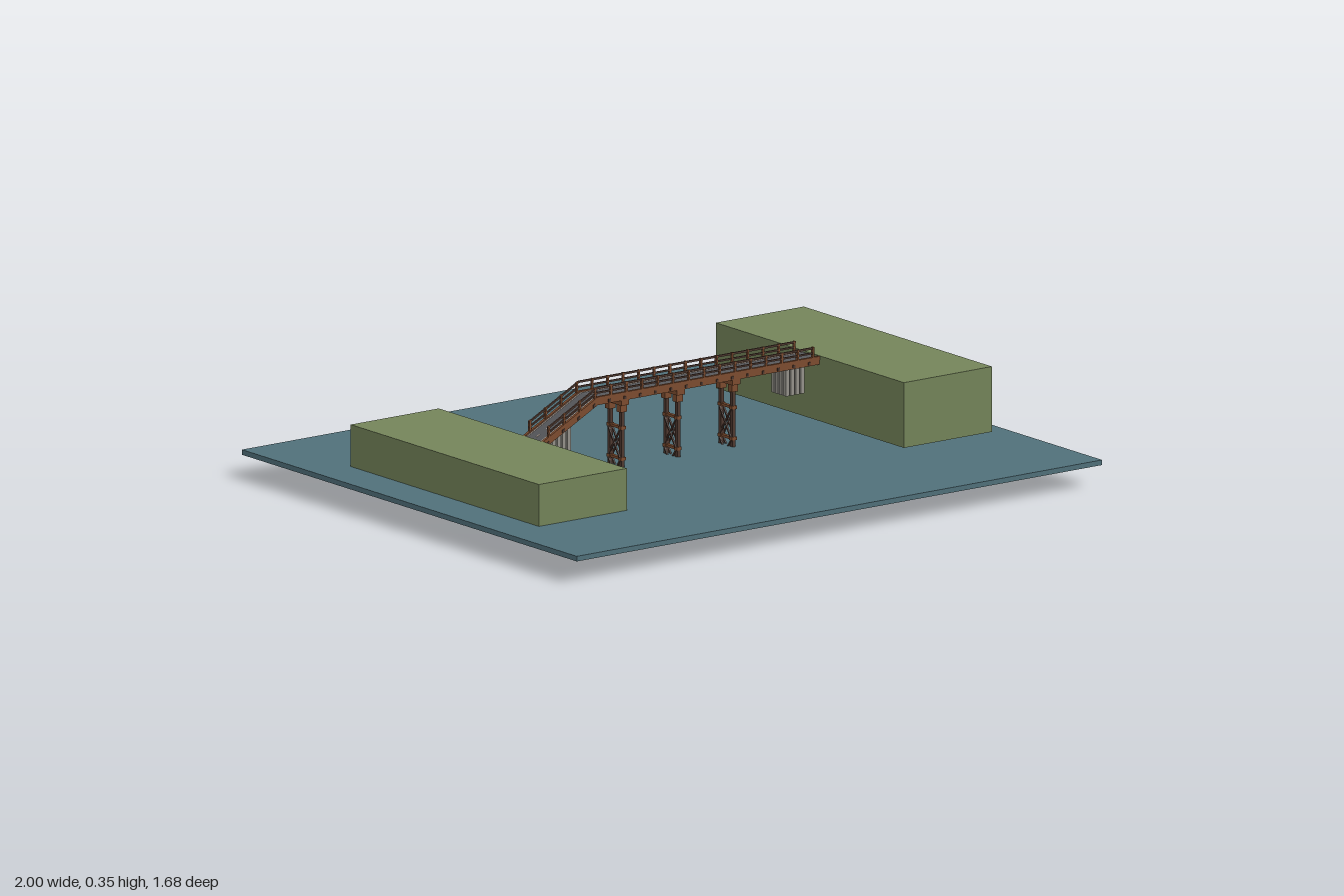
import * as THREE from 'three';

const mat = (name, color) => new THREE.MeshStandardMaterial({ name, color });

export function createModel() {
  const root = new THREE.Group();
  root.name = 'riverBridge';
  const water = mat('water', 0x50707a);
  const grass = mat('grass', 0x74845a);
  const asphalt = mat('asphalt', 0x58595c);
  const timber = mat('timber', 0x7d4c2f);
  const darkTimber = mat('darkTimber', 0x4f3930);
  const concrete = mat('concrete', 0x96938c);
  const paint = mat('paint', 0xb9a99c);

  const add = (parent, name, geo, material) => {
    const m = new THREE.Mesh(geo, material);
    m.name = name;
    parent.add(m);
    return m;
  };
  const group = (name) => {
    const g = new THREE.Group();
    g.name = name;
    root.add(g);
    return g;
  };
  // box given by its limits
  const box = (parent, name, material, x0, x1, y0, y1, z0, z1) => {
    const m = add(parent, name, new THREE.BoxGeometry(x1 - x0, y1 - y0, z1 - z0), material);
    m.position.set((x0 + x1) / 2, (y0 + y1) / 2, (z0 + z1) / 2);
    return m;
  };
  // square beam between two points
  const beam = (parent, name, material, a, b, w) => {
    const dir = new THREE.Vector3().subVectors(b, a);
    const m = add(parent, name, new THREE.BoxGeometry(w, dir.length(), w), material);
    m.position.addVectors(a, b).multiplyScalar(0.5);
    m.quaternion.setFromUnitVectors(new THREE.Vector3(0, 1, 0), dir.normalize());
    return m;
  };

  // road height: a ramp, then a level run
  const X0 = -0.53, XB = -0.32, X1 = 0.525, YLOW = 0.208, YTOP = 0.317;
  const roadY = (x) => (x < XB ? YLOW + ((x - X0) / (XB - X0)) * (YTOP - YLOW) : YTOP);
  // strip following the road, between two height offsets
  const strip = (parent, name, material, x0, x1, lo, hi, z0, z1) => {
    const xs = x0 < XB && x1 > XB ? [x0, XB, x1] : [x0, x1];
    const pts = xs.map((x) => new THREE.Vector2(x, roadY(x) + lo));
    xs.slice().reverse().forEach((x) => pts.push(new THREE.Vector2(x, roadY(x) + hi)));
    const geo = new THREE.ExtrudeGeometry(new THREE.Shape(pts), { depth: z1 - z0, bevelEnabled: false });
    add(parent, name, geo, material).position.z = z0;
  };

  // water and banks
  box(root, 'water', water, -1, 1, 0.066, 0.082, -0.84, 0.84);
  box(root, 'lowBank', grass, -0.865, -0.53, 0.082, 0.213, -0.472, 0.472);
  box(root, 'highBank', grass, 0.525, 0.86, 0.118, 0.322, -0.472, 0.472);

  // deck
  const deck = group('deck');
  strip(deck, 'roadway', asphalt, X0, X1, -0.008, 0, -0.042, 0.042);
  for (const z of [-0.036, 0.036]) strip(deck, 'edgeLine', paint, X0, X1, 0, 0.001, z - 0.002, z + 0.002);
  for (const c of [-0.528, -0.318, -0.108, 0.102, 0.312, 0.522]) {
    for (const o of [-0.055, -0.018, 0.018, 0.055]) {
      const x = c + o;
      if (x > X0 + 0.01 && x < X1 - 0.01) strip(deck, 'centreDash', paint, x - 0.006, x + 0.006, 0, 0.001, -0.002, 0.002);
    }
  }
  for (const z of [-0.044, -0.015, 0.015, 0.044]) strip(deck, 'girder', timber, X0, X1, -0.022, -0.008, z - 0.005, z + 0.005);
  for (const z of [-0.046, 0.046]) strip(deck, 'kerb', timber, X0, X1, -0.008, 0.004, z - 0.005, z + 0.005);
  for (let x = -0.51; x < 0.52; x += 0.0585) strip(deck, 'crossBeam', darkTimber, x - 0.004, x + 0.004, -0.018, -0.009, -0.052, 0.052);

  // railings
  const railings = group('railings');
  for (const z of [-0.047, 0.047]) {
    for (let i = 0; i < 18; i++) {
      const x = -0.506 + i * 0.0592;
      strip(railings, 'railPost', timber, x - 0.003, x + 0.003, 0, 0.036, z - 0.004, z + 0.004);
    }
    strip(railings, 'topRail', darkTimber, -0.51, 0.505, 0.029, 0.035, z - 0.003, z + 0.003);
    strip(railings, 'middleRail', darkTimber, -0.51, 0.505, 0.014, 0.019, z - 0.003, z + 0.003);
  }

  // braced timber piers
  const levels = [0.016, 0.108, 0.205];
  for (const px of [-0.213, 0, 0.21]) {
    const pier = group('pier');
    pier.position.x = px;
    for (const z of [-0.029, 0.029]) {
      box(pier, 'pierLeg', darkTimber, -0.006, 0.006, 0, 0.26, z - 0.006, z + 0.006);
      for (const y of levels) box(pier, 'legCollar', timber, -0.009, 0.009, y - 0.005, y + 0.005, z - 0.008, z + 0.008);
      box(pier, 'pierBracket', timber, -0.012, 0.012, 0.255, 0.28, z - 0.01, z + 0.01);
    }
    for (const y of levels) box(pier, 'crossTie', timber, -0.006, 0.006, y - 0.004, y + 0.004, -0.034, 0.034);
    box(pier, 'pierCap', timber, -0.015, 0.015, 0.278, 0.296, -0.046, 0.046);
    // crossed braces on both faces of each tier
    for (const [y0, y1] of [[0.02, 0.104], [0.112, 0.201]]) {
      for (const s of [-1, 1]) {
        beam(pier, 'diagonalBrace', darkTimber, new THREE.Vector3(s * 0.008, y0, -0.029 * s), new THREE.Vector3(s * 0.008, y1, 0.029 * s), 0.005);
        beam(pier, 'diagonalBrace', darkTimber, new THREE.Vector3(s * 0.006, y0, 0.029 * s), new THREE.Vector3(s * 0.006, y1, -0.029 * s), 0.005);
      }
    }
  }

  // pile clusters near both banks
  const piles = group('endPiles');
  for (const [start, drop] of [[-0.476, 0.102], [0.413, 0.107]]) {
    for (let i = 0; i < 4; i++) {
      for (const z of [-0.03, -0.01, 0.01, 0.03]) {
        const x = start + i * 0.019;
        strip(piles, 'pile', concrete, x - 0.007, x + 0.007, -drop, -0.008, z - 0.007, z + 0.007);
      }
    }
  }
  return root;
}
